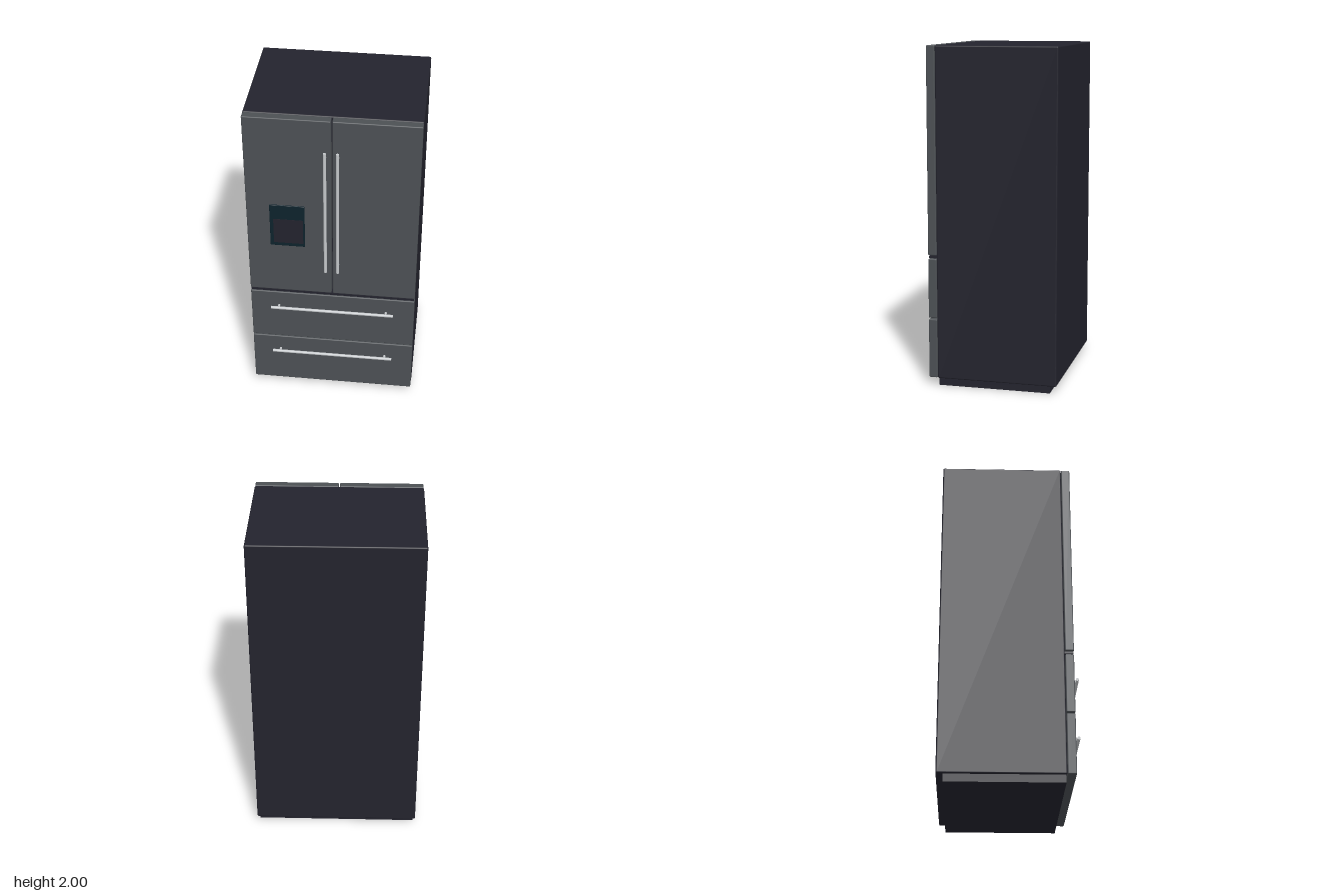
import * as THREE from 'three';
import { RoundedBoxGeometry } from 'three/addons/geometries/RoundedBoxGeometry.js';

export function createModel() {
  const group = new THREE.Group();
  const mat = (name, color) => {
    const m = new THREE.MeshStandardMaterial({ color });
    m.name = name;
    return m;
  };
  const cabinetMat = mat('charcoal cabinet', 0x23232d);
  const doorMat = mat('grey steel', 0x4c5054);
  const handleMat = mat('bright metal', 0xc4c7ca);
  const glassMat = mat('dark teal glass', 0x0d222c);

  // Box given by its limits on each axis, with softened edges
  const box = (name, material, [x0, x1], [y0, y1], [z0, z1], radius = 0.006) => {
    const w = x1 - x0, h = y1 - y0, d = z1 - z0;
    const geo = radius ? new RoundedBoxGeometry(w, h, d, 3, radius) : new THREE.BoxGeometry(w, h, d);
    const mesh = new THREE.Mesh(geo, material);
    mesh.name = name;
    mesh.position.set((x0 + x1) / 2, (y0 + y1) / 2, (z0 + z1) / 2);
    group.add(mesh);
  };

  // Bar handle along y with two posts, optionally turned to lie along x
  const handle = (name, x, y, length, postOffset, horizontal) => {
    const part = new THREE.Group();
    part.name = name;
    const bar = new THREE.Mesh(new THREE.CylinderGeometry(0.009, 0.009, length, 20), handleMat);
    bar.name = 'handleBar';
    part.add(bar);
    for (const s of [-1, 1]) {
      const post = new THREE.Mesh(new THREE.CylinderGeometry(0.007, 0.007, 0.034, 16), handleMat);
      post.name = 'handlePost';
      post.rotation.x = Math.PI / 2;
      post.position.set(0, s * postOffset, -0.017);
      part.add(post);
    }
    if (horizontal) part.rotation.z = Math.PI / 2;
    part.position.set(x, y, 0.393);
    group.add(part);
  };

  // Cabinet and recessed plinth
  box('cabinet', cabinetMat, [-0.497, 0.497], [0.045, 2], [-0.403, 0.313], 0.008);
  box('plinth', cabinetMat, [-0.483, 0.483], [0, 0.05], [-0.363, 0.308], 0);

  // Double doors, trim rail and drawers
  const front = [0.315, 0.366];
  box('rightDoor', doorMat, [-0.495, -0.004], [0.785, 2], front);
  box('leftDoor', doorMat, [0.004, 0.495], [0.785, 2], front);
  box('trimRail', cabinetMat, [-0.49, 0.49], [0.768, 0.781], [0.311, 0.362], 0);
  box('upperDrawer', doorMat, [-0.495, 0.495], [0.409, 0.763], front);
  box('lowerDrawer', doorMat, [-0.495, 0.495], [0.047, 0.401], front);

  // Handles
  for (const s of [-1, 1]) handle('doorHandle', s * 0.036, 1.39, 0.84, 0.38, false);
  for (const y of [0.66, 0.302]) handle('drawerHandle', 0, y, 0.74, 0.325, true);

  // Water dispenser
  box('dispenserPanel', glassMat, [-0.36, -0.157], [1.13, 1.42], [0.363, 0.372], 0.003);
  box('dispenserNiche', cabinetMat, [-0.339, -0.167], [1.153, 1.322], [0.37, 0.3735], 0);

  return group;
}
